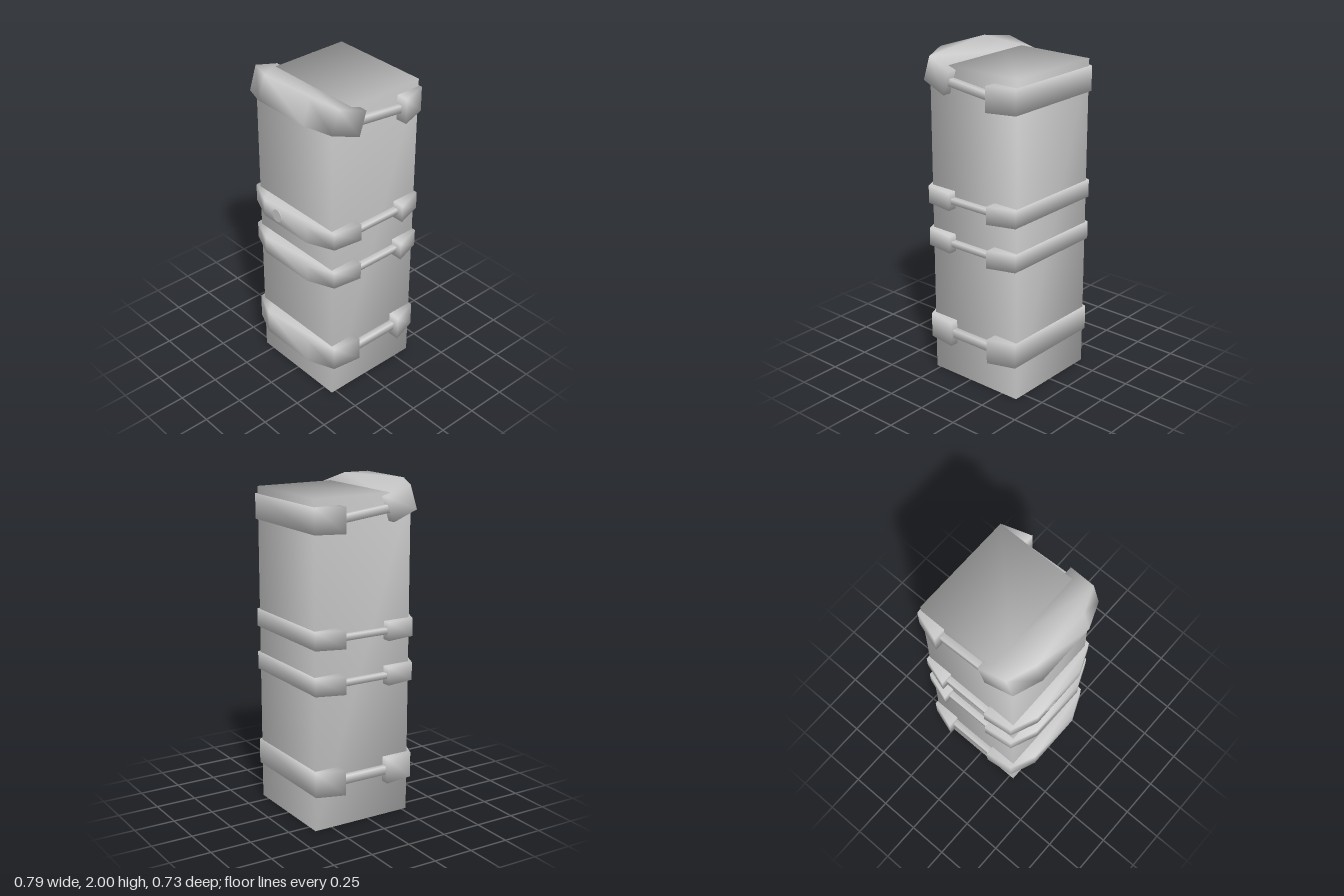
import * as THREE from 'three';
import { mergeVertices } from 'three/addons/utils/BufferGeometryUtils.js';

const material = new THREE.MeshStandardMaterial({ color: 0xcccccc });

// Share corner normals so the blocks shade softly
function smooth(geometry) {
  geometry.deleteAttribute('normal');
  geometry.deleteAttribute('uv');
  const merged = mergeVertices(geometry, 1e-4);
  merged.computeVertexNormals();
  return merged;
}

function add(parent, name, geometry, x = 0, y = 0, z = 0) {
  const mesh = new THREE.Mesh(geometry, material);
  mesh.name = name;
  mesh.position.set(x, y, z);
  parent.add(mesh);
  return mesh;
}

// Symmetric horizontal plate from its +x outline [x, z], centred on y = 0
function plate(half, height) {
  const outline = [...half, ...half.map(([x, z]) => [-x, z]).reverse()];
  const shape = new THREE.Shape(outline.map(([x, z]) => new THREE.Vector2(x, -z)));
  const geometry = new THREE.ExtrudeGeometry(shape, { depth: height, bevelEnabled: false });
  geometry.translate(0, 0, -height / 2);
  geometry.rotateX(-Math.PI / 2);
  return smooth(geometry);
}

const FRONT_Z = 0.23;
const frontOutline = [[0.375, -0.125], [0.35, 0.057], [0.19, 0.125]];
const backOutline = [[0.34, -0.367], [0.395, -0.197]];

// Front guard, back clamp and the two side links joining them
function band({ name, y, height, link, frontY = y, frontZ = FRONT_Z, tilt = 0, linkY = y, linkTilt = 0 }) {
  const group = new THREE.Group();
  group.name = name;
  add(group, 'frontGuard', plate(frontOutline, height), 0, frontY, frontZ).rotation.x = tilt;
  add(group, 'backClamp', plate(backOutline, height), 0, y, 0);
  for (const side of [-1, 1]) {
    const geometry = smooth(new THREE.BoxGeometry(0.06, link, 0.34));
    const mesh = add(group, side > 0 ? 'leftLink' : 'rightLink', geometry, side * 0.327, linkY, -0.05);
    mesh.rotation.x = linkTilt;
  }
  return group;
}

export function createModel() {
  const model = new THREE.Group();
  model.name = 'bandedPost';

  // Square post
  add(model, 'post', smooth(new THREE.BoxGeometry(0.64, 1.94, 0.64)), 0, 0.97, -0.04);

  // Bands from bottom to top; the top guard tips upward
  const bands = [
    { name: 'bottomBand', y: 0.293, height: 0.154, link: 0.05 },
    { name: 'lowerMiddleBand', y: 0.88, height: 0.108, link: 0.033 },
    { name: 'upperMiddleBand', y: 1.148, height: 0.108, link: 0.033 },
    {
      name: 'topBand', y: 1.82, height: 0.15, link: 0.045,
      frontY: 1.889, frontZ: 0.226, tilt: -0.31, linkY: 1.837, linkTilt: -0.11,
    },
  ];
  for (const spec of bands) model.add(band(spec));

  // Round stud on the upper middle band
  const stud = new THREE.CylinderGeometry(0.04, 0.04, 0.02, 24);
  stud.rotateX(Math.PI / 2);
  add(model, 'stud', stud, -0.073, 1.148, 0.348);

  return model;
}
